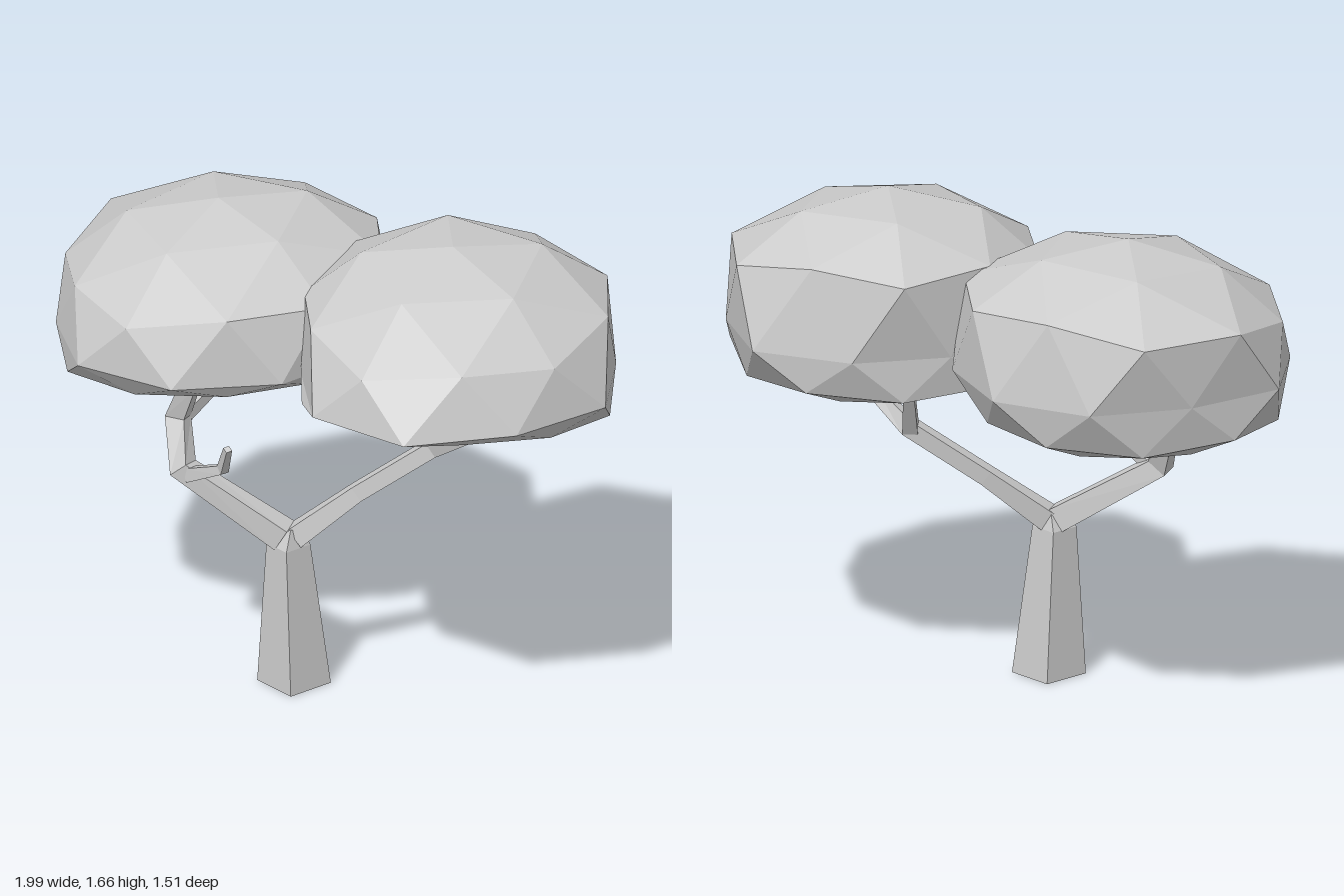
import * as THREE from 'three';

const material = new THREE.MeshStandardMaterial({ color: 0xcccccc, flatShading: true });

// Square-section tapered limb through points [x, y, z, halfWidth]
function limb(name, points) {
  const p = points.map(([x, y, z]) => new THREE.Vector3(x, y, z));
  const last = p.length - 1;
  const across = p[last].clone().sub(p[0]).setY(0);
  if (across.length() < 0.05) across.set(0, 0, 1);
  across.normalize().cross(new THREE.Vector3(0, 1, 0));

  const positions = [];
  const index = [];
  p.forEach((c, i) => {
    // Average the directions of the neighbouring segments
    const t = new THREE.Vector3();
    if (i > 0) t.add(c.clone().sub(p[i - 1]).normalize());
    if (i < last) t.add(p[i + 1].clone().sub(c).normalize());
    t.normalize();
    if (name === 'trunk') t.set(0, 1, 0);
    const s = across.clone().addScaledVector(t, -across.dot(t)).normalize();
    const u = t.clone().cross(s);
    for (const [a, b] of [[1, 1], [-1, 1], [-1, -1], [1, -1]]) {
      const v = c.clone().addScaledVector(s, a * points[i][3]).addScaledVector(u, b * points[i][3]);
      positions.push(v.x, v.y, v.z);
    }
    if (i < last) {
      for (let k = 0; k < 4; k++) {
        const a = i * 4 + k, b = i * 4 + (k + 1) % 4;
        index.push(a, b, b + 4, a, b + 4, a + 4);
      }
    }
  });
  const e = last * 4;
  index.push(0, 2, 1, 0, 3, 2, e, e + 1, e + 2, e, e + 2, e + 3);

  const geometry = new THREE.BufferGeometry();
  geometry.setAttribute('position', new THREE.Float32BufferAttribute(positions, 3));
  geometry.setIndex(index);
  const flat = geometry.toNonIndexed();
  flat.computeVertexNormals();
  const mesh = new THREE.Mesh(flat, material);
  mesh.name = name;
  return mesh;
}

// Faceted foliage dome, tall above its widest ring and shallow below.
// rim: radius factors of the ten widest corners, from 18 degrees in steps of 36
// shoulder: the same for the ring above, from 0 degrees
// topTilt: [x, z] slope of the upper half; under: [base, x, z] depth of the underside
function crown(name, { center, rx, rz, top, bottom, rim, shoulder, topTilt, under }) {
  const geometry = new THREE.IcosahedronGeometry(1, 1);
  geometry.rotateX(-Math.atan((1 + Math.sqrt(5)) / 2));
  geometry.rotateY(Math.PI / 2);
  const pos = geometry.attributes.position;
  for (let i = 0; i < pos.count; i++) {
    const x = pos.getX(i), y = pos.getY(i), z = pos.getZ(i);
    const degrees = THREE.MathUtils.radToDeg(Math.atan2(z, x)) + 360;
    let h = 0;
    let r = 1;
    if (Math.abs(y) < 0.01) {
      r = rim[Math.round((degrees - 18) / 36) % 10];
    } else if (y > 0) {
      h = top * Math.pow(y, 0.88) + topTilt[0] * x + topTilt[1] * z;
      if (y < 0.6) r = shoulder[Math.round(degrees / 36) % 10];
    } else {
      const depth = THREE.MathUtils.clamp(under[0] + under[1] * x + under[2] * z, 0.27, 1);
      h = -bottom * Math.min(1, -y * 1.3) * depth;
    }
    pos.setXYZ(i, x * rx * r, h, z * rz * r);
  }
  geometry.computeVertexNormals();
  const mesh = new THREE.Mesh(geometry, material);
  mesh.name = name;
  mesh.position.set(...center);
  return mesh;
}

export function createModel() {
  const tree = new THREE.Group();
  tree.name = 'tree';

  tree.add(limb('trunk', [
    [-0.027, 0, 0.158, 0.087], [-0.03, 0.51, 0.18, 0.052], [-0.02, 0.575, 0.175, 0.025],
  ]));

  // Branch towards the front right, with its twigs
  tree.add(
    limb('rightBranch', [
      [-0.04, 0.54, 0.19, 0.043], [-0.32, 0.75, 0.395, 0.036],
      [-0.4, 0.9, 0.35, 0.034], [-0.33, 1.05, 0.35, 0.028],
    ]),
    limb('rightBranchTwig', [
      [-0.4, 0.89, 0.34, 0.024], [-0.46, 0.965, 0.08, 0.018], [-0.48, 1.02, 0.03, 0.014],
    ]),
    limb('bareTwig', [
      [-0.29, 0.735, 0.39, 0.024], [-0.125, 0.81, 0.385, 0.016], [-0.07, 0.91, 0.41, 0.011],
    ]),
  );

  // Branch towards the back left, splitting in two
  tree.add(
    limb('leftBranch', [
      [-0.015, 0.54, 0.165, 0.037], [0.11, 0.695, 0, 0.028],
      [0.28, 0.865, -0.19, 0.028], [0.45, 0.965, -0.205, 0.022], [0.48, 1.04, -0.21, 0.018],
    ]),
    limb('leftBranchTwig', [
      [0.275, 0.86, -0.19, 0.026], [0.215, 0.99, -0.25, 0.02], [0.19, 1.05, -0.28, 0.016],
    ]),
  );

  tree.add(
    crown('leftCrown', {
      center: [0.43, 1.22, -0.15], rx: 0.595, rz: 0.61, top: 0.445, bottom: 0.22,
      rim: [0.97, 1.07, 1, 0.84, 0.89, 0.87, 0.92, 1, 0.9, 1],
      shoulder: [0.99, 1.02, 1.04, 0.99, 0.95, 1, 1.06, 0.98, 1.02, 1.04],
      topTilt: [-0.04, -0.04], under: [0.76, -0.3, -0.7],
    }),
    crown('rightCrown', {
      center: [-0.435, 1.19, 0.145], rx: 0.59, rz: 0.61, top: 0.435, bottom: 0.245,
      rim: [0.98, 1.01, 1, 0.9, 0.97, 0.89, 0.97, 1, 0.98, 0.97],
      shoulder: [1.05, 1.08, 1.05, 1, 0.98, 1.11, 1.09, 1.03, 1.05, 1.1],
      topTilt: [0.015, -0.05], under: [0.79, -0.47, -0.2],
    }),
  );

  return tree;
}
